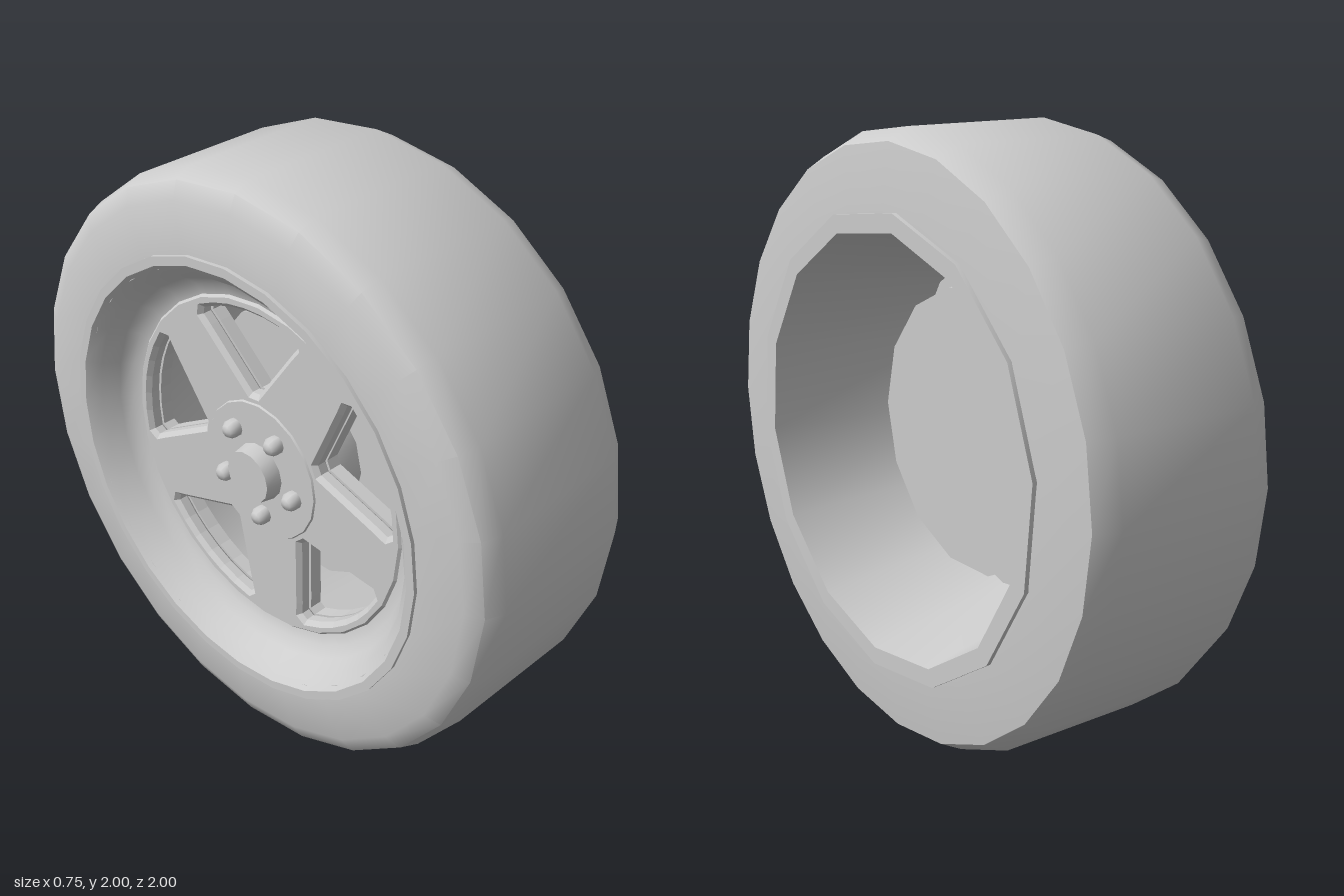
import * as THREE from 'three';
import { toCreasedNormals } from 'three/addons/utils/BufferGeometryUtils.js';

const grey = new THREE.MeshStandardMaterial({ color: 0xcccccc });
grey.name = 'plain grey';

const RIM_TURN = 0.126;              // turn of the rim polygon about the axle
const WINDOW_TURN = (96 * Math.PI) / 180; // direction of the first window
const FIFTH = (Math.PI * 2) / 5;

export function createModel() {
  const wheel = new THREE.Group();
  wheel.name = 'wheel';
  wheel.position.y = 1;

  const add = (name, geometry) => {
    const mesh = new THREE.Mesh(geometry, grey);
    mesh.name = name;
    wheel.add(mesh);
    return mesh;
  };

  // Turned part along the axle; the profile is [radius, x]
  const turned = (name, profile, sides, crease = 0.75) => {
    const points = profile.map(([r, x]) => new THREE.Vector2(r, x));
    const g = new THREE.LatheGeometry(points, sides).rotateZ(-Math.PI / 2);
    return add(name, toCreasedNormals(g, crease));
  };

  // Solid round part between two x positions
  const round = (name, r0, r1, x0, x1, sides) =>
    turned(name, [[0, x0], [r0, x0], [r1, x1], [0, x1]], sides, 0.6);

  // Tyre: soft shoulder on the outer side, sharp edge on the inner side
  turned('tyre', [
    [0.72, -0.365], [0.76, -0.365], [0.92, -0.352], [0.975, -0.325], [1, -0.26],
    [1, 0.26], [0.96, 0.335], [0.76, 0.36], [0.72, 0.36],
  ], 24);

  // Rim: tapering barrel behind, rounded dish in front
  const barrel = turned('rimBarrel', [[0.76, 0.34], [0.76, 0.375], [0.7, 0.375], [0.58, -0.22]], 14);
  barrel.rotation.x = RIM_TURN;
  turned('rimDish', [
    [0.585, -0.24], [0.63, -0.25], [0.66, -0.285], [0.69, -0.34],
    [0.73, -0.378], [0.76, -0.378], [0.76, -0.355],
  ], 28);

  // Closed outline from polar corners [radius, angle]
  const polar = (corners, turn, Type = THREE.Path) => new Type(corners.map(([r, a]) =>
    new THREE.Vector2(r * Math.cos(a + turn), r * Math.sin(a + turn))));

  // Window between two spokes: curved outer edge, narrowing towards the hub
  const windowCorners = [[0.27, -0.06], [0.49, -0.38], [0.53, -0.41]];
  for (let i = 0; i <= 6; i++) windowCorners.push([0.55, -0.38 + (i * 0.76) / 6]);
  windowCorners.push([0.53, 0.41], [0.49, 0.38], [0.27, 0.06]);

  // Hollow on the back of each spoke
  const pocketCorners = [[0.34, -0.26], [0.52, -0.1], [0.52, 0.1], [0.34, 0.26]];

  const spokeLayer = (name, x, depth, bevel, pockets) => {
    const shape = new THREE.Shape().absarc(0, 0, 0.6, 0, Math.PI * 2, false);
    for (let k = 0; k < 5; k++) {
      const turn = WINDOW_TURN + k * FIFTH;
      shape.holes.push(polar(windowCorners, turn));
      if (pockets) shape.holes.push(polar(pocketCorners, turn + FIFTH / 2));
    }
    const g = new THREE.ExtrudeGeometry(shape, {
      depth, curveSegments: 14, bevelEnabled: bevel > 0,
      bevelSize: bevel, bevelThickness: bevel, bevelOffset: -bevel, bevelSegments: 1,
    });
    add(name, g.rotateY(-Math.PI / 2).translate(x, 0, 0));
  };
  spokeLayer('spokeFront', -0.205, 0.03, 0.015, false);
  spokeLayer('spokeBack', -0.15, 0.045, 0, true);

  // Hub and brake disc behind the spokes
  round('brakeDisc', 0.48, 0.48, -0.04, 0.04, 14);
  round('hub', 0.24, 0.24, -0.17, -0.03, 14);

  // Hub plate, centre cap and five wheel bolts
  round('hubPlate', 0.24, 0.25, -0.256, -0.24, 20);
  round('centreCap', 0.09, 0.1, -0.31, -0.25, 14);
  for (let k = 0; k < 5; k++) {
    const a = WINDOW_TURN + (k + 0.5) * FIFTH;
    const bolt = turned('wheelBolt',
      [[0, -0.3], [0.02, -0.297], [0.031, -0.28], [0.031, -0.25]], 10, 1);
    bolt.position.set(0, 0.16 * Math.sin(a), 0.16 * Math.cos(a));
  }

  const model = new THREE.Group();
  model.name = 'carWheel';
  model.add(wheel);
  return model;
}
